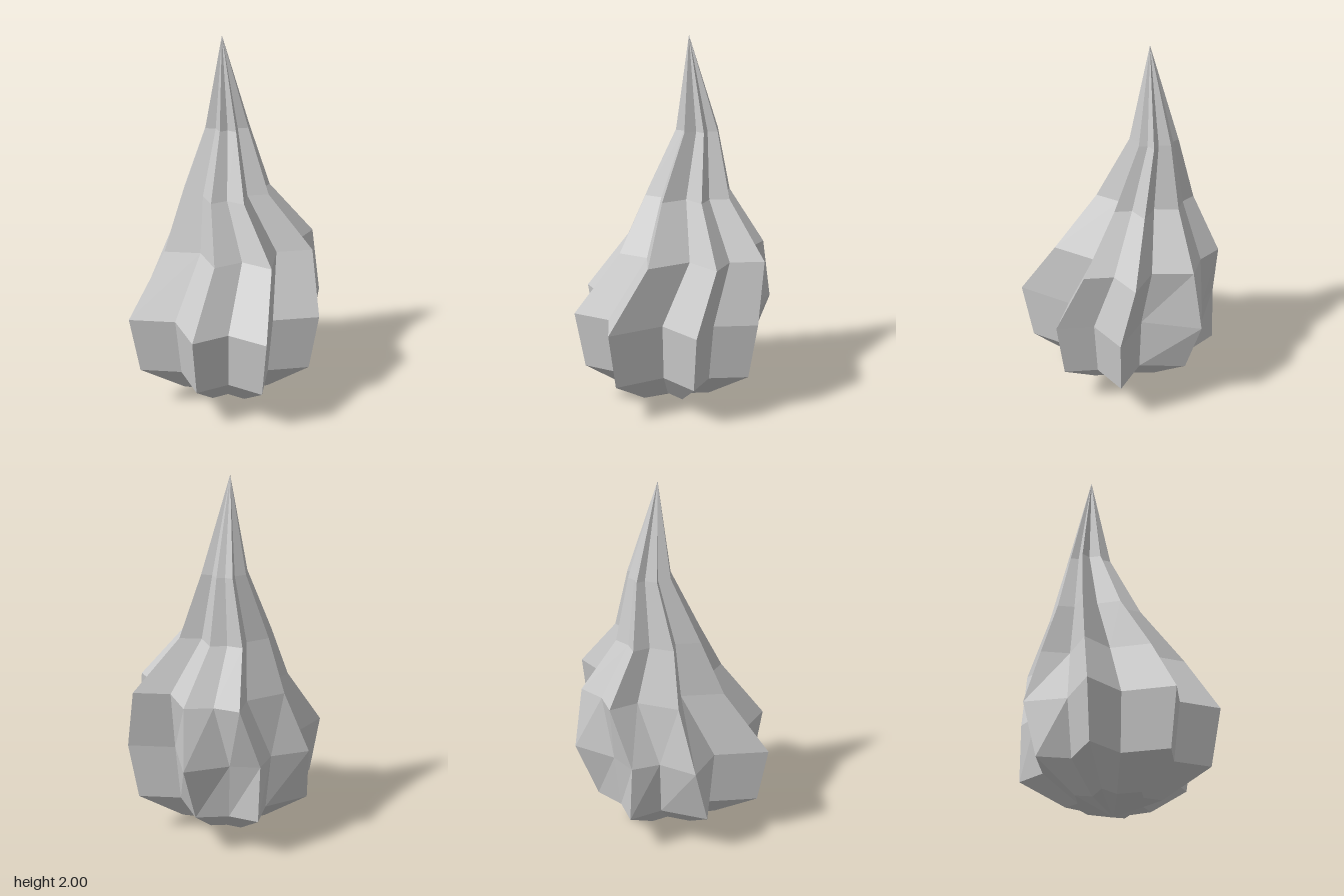
import * as THREE from 'three';

// Star cross-section [x, z]: eight ridges alternating with eight grooves
const star = [
  [0.13, 0.535], [0.229, 0.349], [0.46, 0.343], [0.325, 0.063],
  [0.51, -0.11], [0.333, -0.205], [0.32, -0.44], [0.10, -0.31],
  [-0.13, -0.468], [-0.28, -0.342], [-0.46, -0.303], [-0.383, -0.11],
  [-0.51, 0.15], [-0.317, 0.19], [-0.32, 0.483], [-0.097, 0.369],
];

// Three ridges are bent at the widest ring
const bent = { 8: [-0.13, -0.54], 10: [-0.417, -0.26], 12: [-0.51, 0.063] };
const widest = star.map((p, i) => bent[i] || p);

// Rings from the bottom point to the tip; the top leans back and sideways
const rings = [
  { y: 0, s: 0, x: 0, z: 0.01 },
  { y: 0.07, s: 0.45, x: 0, z: 0.005 },
  { y: 0.225, s: 0.9, x: 0, z: 0 },
  { y: 0.535, s: 1, x: 0, z: 0, section: widest },
  { y: 0.865, s: 0.78, x: 0, z: -0.13 },
  { y: 1.155, s: 0.456, x: -0.072, z: -0.095 },
  { y: 1.5, s: 0.225, x: -0.095, z: -0.135 },
  { y: 2, s: 0, x: -0.097, z: -0.083 },
];

// Skin the rings with flat faces, skipping collapsed triangles at both ends
function loftRings() {
  const point = (r, i) => {
    const [px, pz] = (r.section || star)[i % star.length];
    return [r.x + px * r.s, r.y, r.z + pz * r.s];
  };
  const positions = [];
  for (let k = 0; k < rings.length - 1; k++) {
    const low = rings[k], high = rings[k + 1];
    for (let i = 0; i < star.length; i++) {
      const a = point(low, i), b = point(low, i + 1);
      const c = point(high, i + 1), d = point(high, i);
      if (low.s > 0) positions.push(...a, ...b, ...c);
      if (high.s > 0) positions.push(...a, ...c, ...d);
      if (low.s > 0 && high.s === 0) continue;
    }
  }
  const geometry = new THREE.BufferGeometry();
  geometry.setAttribute('position', new THREE.Float32BufferAttribute(positions, 3));
  geometry.computeVertexNormals();
  return geometry;
}

export function createModel() {
  const group = new THREE.Group();
  const material = new THREE.MeshStandardMaterial({ color: 0xcccccc, flatShading: true });
  const body = new THREE.Mesh(loftRings(), material);
  body.name = 'ribbedBulb';
  group.add(body);
  return group;
}
